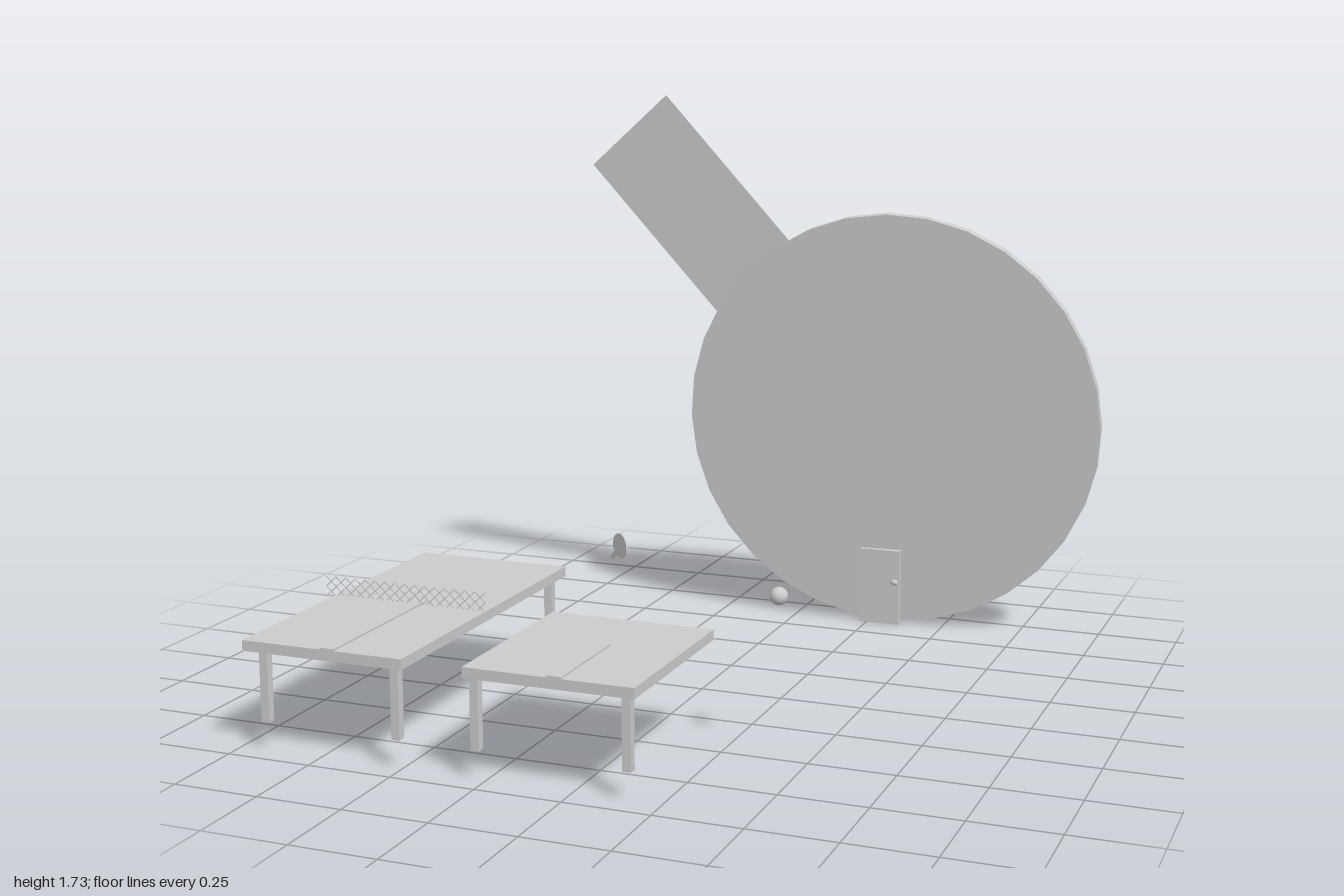
import * as THREE from 'three';

const material = new THREE.MeshStandardMaterial({ color: 0xcccccc, flatShading: true });
const smooth = new THREE.MeshStandardMaterial({ color: 0xcccccc });
const thin = new THREE.MeshStandardMaterial({ color: 0xcccccc, side: THREE.DoubleSide });

function add(parent, name, geometry, position, mat = material) {
  const mesh = new THREE.Mesh(geometry, mat);
  mesh.name = name;
  mesh.position.set(...position);
  parent.add(mesh);
  return mesh;
}

// Box given by its two opposite corners
function box(parent, name, [x0, y0, z0], [x1, y1, z1]) {
  return add(parent, name, new THREE.BoxGeometry(x1 - x0, y1 - y0, z1 - z0),
    [(x0 + x1) / 2, (y0 + y1) / 2, (z0 + z1) / 2]);
}

// Table with a raised centre line and legs at the listed [x, z] spots
function table(name, x0, x1, z0, z1, lineStart, legs) {
  const group = new THREE.Group();
  group.name = name;
  box(group, 'tableTop', [x0, 0.285, z0], [x1, 0.315, z1]);
  const mid = (x0 + x1) / 2 + 0.02;
  box(group, 'centreLine', [mid - 0.021, 0.313, lineStart], [mid + 0.021, 0.32, z1]);
  for (const [x, z] of legs) {
    box(group, 'tableLeg', [x - 0.0125, 0.08, z - 0.0125], [x + 0.0125, 0.29, z + 0.0125]);
  }
  return group;
}

// Net of crossing flat strands
function net(x0, x1, y0, y1, z) {
  const group = new THREE.Group();
  group.name = 'net';
  const cells = 16, rows = 2;
  const w = (x1 - x0) / cells, h = (y1 - y0) / rows;
  for (let i = 0; i < cells; i++) {
    for (let j = 0; j < rows; j++) {
      for (const side of [-1, 1]) {
        const strand = add(group, 'netStrand', new THREE.PlaneGeometry(Math.hypot(w, h), 0.003),
          [x0 + (i + 0.5) * w, y0 + (j + 0.5) * h, z], thin);
        strand.rotation.z = side * Math.atan2(h, w);
      }
    }
  }
  return group;
}

// Turn a +z facing object towards a normal
function face(object, x, y, z) {
  object.quaternion.setFromUnitVectors(new THREE.Vector3(0, 0, 1), new THREE.Vector3(x, y, z).normalize());
}

// Giant bat that serves as a house wall
function giantBat() {
  const group = new THREE.Group();
  group.name = 'giantBat';
  const blade = new THREE.Group();
  blade.position.set(0.32, 0.685, -0.887);
  face(blade, 0.062, -0.055, 1);
  group.add(blade);
  const disc = new THREE.CylinderGeometry(0.68, 0.68, 0.045, 32).rotateX(Math.PI / 2).rotateZ(0.02);
  add(blade, 'batBlade', disc, [0, 0, 0]);

  // Flat handle running from its far end into the blade
  const handle = new THREE.Group();
  handle.position.set(-0.57, 1.615, -0.803);
  face(handle, 0.05, -0.043, 1);
  group.add(handle);
  const sheet = new THREE.PlaneGeometry(0.75, 0.35).translate(0.375, 0, 0).rotateZ(-0.843);
  add(handle, 'batHandle', sheet, [0, 0, 0], thin);
  return group;
}

// Small bat floating above the table
function smallBat() {
  const group = new THREE.Group();
  group.name = 'smallBat';
  group.position.set(-0.04, 0.56, 0.515);
  group.rotation.y = -0.6;
  add(group, 'smallBatBlade', new THREE.CylinderGeometry(0.034, 0.034, 0.004, 24).rotateX(Math.PI / 2), [0, 0, 0]);
  const grip = add(group, 'smallBatHandle', new THREE.PlaneGeometry(0.036, 0.016), [-0.03, -0.031, 0], thin);
  grip.rotation.z = Math.PI / 4;
  return group;
}

export function createModel() {
  const model = new THREE.Group();
  model.name = 'tableTennisScene';

  model.add(table('longTable', -0.97, -0.48, -0.07, 0.96, 0.43,
    [[-0.92, 0.925], [-0.515, 0.925], [-0.945, -0.028], [-0.515, -0.028]]));
  model.add(net(-1, -0.48, 0.31, 0.37, 0.47));
  model.add(table('halfTable', -0.3, 0.19, 0.4, 0.96, 0.64, [[-0.278, 0.925], [0.157, 0.925]]));
  model.add(giantBat());
  model.add(smallBat());
  add(model, 'ball', new THREE.SphereGeometry(0.025, 24, 16), [0.41, 0.455, 0.485], smooth);

  // Door with knob at the foot of the giant bat
  box(model, 'door', [0.225, 0, -0.89], [0.36, 0.25, -0.868]);
  const knob = add(model, 'doorKnob', new THREE.SphereGeometry(0.011, 16, 12), [0.346, 0.145, -0.863], smooth);
  knob.scale.set(1.15, 0.9, 0.9);
  return model;
}
